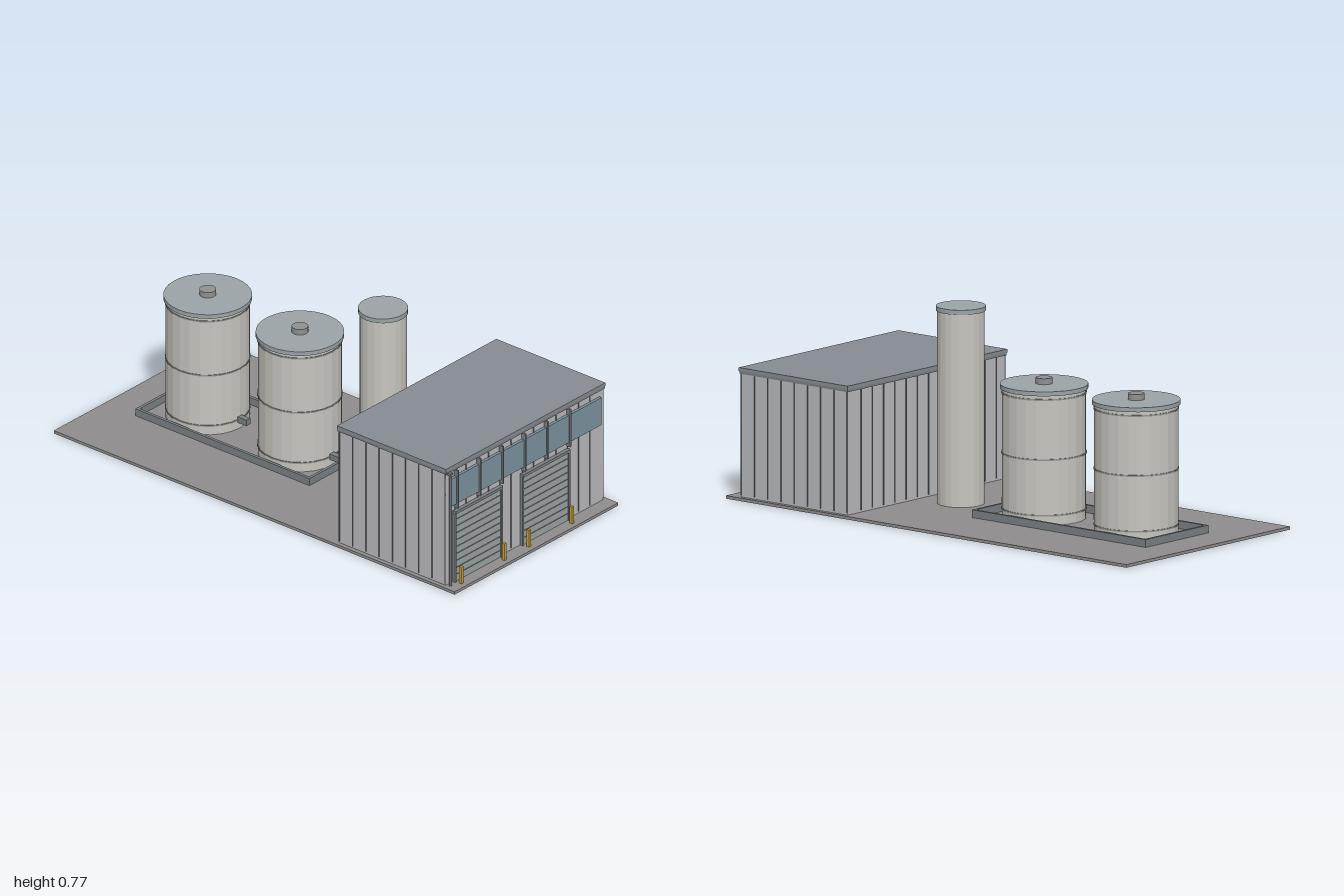
import * as THREE from 'three';

const mat = (color, flatShading = false) =>
  new THREE.MeshStandardMaterial({ color, flatShading, side: THREE.FrontSide });

const M = {
  slab: mat(0x8e8c8d), wall: mat(0xb9babd), seam: mat(0x6c6f73), roof: mat(0x868c92),
  trim: mat(0x7c8083), door: mat(0x9ca2a2), glass: mat(0x7c929d), post: mat(0xc9a23c),
  tank: mat(0xc6c4be, true), lid: mat(0x9ba3a6, true), band: mat(0x8f9191, true),
};

// Box given by its low and high corners
function box(parent, name, material, [x0, x1], [y0, y1], [z0, z1]) {
  const mesh = new THREE.Mesh(new THREE.BoxGeometry(x1 - x0, y1 - y0, z1 - z0), material);
  mesh.position.set((x0 + x1) / 2, (y0 + y1) / 2, (z0 + z1) / 2);
  mesh.name = name;
  parent.add(mesh);
}

// Upright cylinder between two heights
function drum(parent, name, material, r, y0, y1, sides = 24) {
  const mesh = new THREE.Mesh(new THREE.CylinderGeometry(r, r, y1 - y0, sides), material);
  mesh.position.y = (y0 + y1) / 2;
  mesh.name = name;
  parent.add(mesh);
}

function group(parent, name, x = 0, y = 0, z = 0) {
  const g = new THREE.Group();
  g.name = name;
  g.position.set(x, y, z);
  parent.add(g);
  return g;
}

const G = 0.012; // top of the ground slab
const FRONT = 0.94, BACK = 0.408, HALF = 0.457;

function addHall(root) {
  const hall = group(root, 'hall');
  box(hall, 'walls', M.wall, [-HALF, HALF], [G, 0.495], [BACK, FRONT]);
  box(hall, 'roof', M.roof, [-0.463, 0.463], [0.498, 0.512], [0.402, 0.946]);
  box(hall, 'fascia', M.trim, [-0.461, 0.461], [0.488, 0.498], [0.404, 0.945]);

  // Cladding seams on the front, back and sides
  const seams = group(hall, 'claddingSeams');
  for (let i = 0; i < 13; i++) {
    const x = -0.405 + i * 0.0653;
    box(seams, 'frontSeam', M.seam, [x - 0.002, x + 0.002], [0.02, 0.488], [FRONT - 0.002, FRONT + 0.003]);
    box(seams, 'backSeam', M.seam, [x - 0.002, x + 0.002], [0.02, 0.488], [BACK - 0.003, BACK + 0.002]);
  }
  for (let i = 0; i < 9; i++) {
    const z = BACK + 0.002 + i * 0.066;
    for (const s of [-1, 1]) {
      const x = s * HALF;
      box(seams, 'sideSeam', M.seam, [x - 0.003, x + 0.003], [0.02, 0.488], [z - 0.002, z + 0.002]);
    }
  }

  // Window band with mullions
  box(hall, 'windowBand', M.glass, [-0.437, 0.435], [0.345, 0.462], [FRONT, 0.952]);
  for (let i = 0; i < 6; i++) {
    const x = -0.405 + i * 0.1306;
    box(hall, 'mullion', M.trim, [x - 0.004, x + 0.004], [0.328, 0.488], [FRONT, 0.959]);
  }

  // Rain pipe on the front corner
  const pipe = group(hall, 'rainPipe', -0.446, 0, 0.955);
  drum(pipe, 'pipe', M.seam, 0.006, G, 0.493, 10);
  box(pipe, 'pipeBracket', M.trim, [-0.008, 0.008], [0.484, 0.493], [-0.015, 0.006]);
}

// Roller door with slat lines, frame and a bollard on each side
function addDoor(root, x) {
  const door = group(root, 'rollerDoor', x, 0, FRONT);
  const h = 0.1375;
  box(door, 'doorPanel', M.door, [-h + 0.006, h - 0.006], [G, 0.306], [0, 0.008]);
  for (let i = 1; i < 10; i++) {
    const y = G + i * 0.0295;
    box(door, 'slat', M.trim, [-h + 0.006, h - 0.006], [y - 0.0012, y + 0.0012], [0, 0.011]);
  }
  for (const s of [-1, 1]) {
    const c = s * (h - 0.003);
    box(door, 'jamb', M.trim, [c - 0.004, c + 0.004], [G, 0.306], [0, 0.014]);
    const b = s * 0.1245;
    box(door, 'bollard', M.post, [b - 0.006, b + 0.006], [G, 0.083], [0.027, 0.039]);
  }
  box(door, 'lintel', M.trim, [-h, h], [0.304, 0.316], [0, 0.016]);
}

function addTank(root, z) {
  const tank = group(root, 'storageTank', 0, 0, z);
  drum(tank, 'tankBody', M.tank, 0.16, G, 0.515);
  for (const y of [0.05, 0.265, 0.497]) drum(tank, 'tankBand', M.band, 0.1625, y - 0.003, y + 0.003);
  drum(tank, 'tankLid', M.lid, 0.168, 0.513, 0.53, 32);
  drum(tank, 'tankVent', M.band, 0.032, 0.53, 0.553, 16);
  box(tank, 'outlet', M.trim, [-0.012, 0.012], [0.04, 0.064], [0.15, 0.203]);
}

export function createModel() {
  const root = new THREE.Group();
  root.name = 'industrialYard';

  box(root, 'groundSlab', M.slab, [-0.475, 0.475], [0, G], [-1, 1]);
  addHall(root);
  for (const x of [-0.2795, 0.1125]) addDoor(root, x);

  // Tall silo behind the hall
  const silo = group(root, 'silo', 0, 0, 0.235);
  drum(silo, 'siloBody', M.tank, 0.09, G, 0.76, 20);
  drum(silo, 'siloLid', M.lid, 0.095, 0.757, 0.775, 28);

  // Tanks inside a low containment wall
  for (const z of [-0.18, -0.64]) addTank(root, z);
  const bund = group(root, 'containmentWall');
  for (const s of [-1, 1]) {
    const x = s * 0.176, z = -0.41 + s * 0.428;
    box(bund, 'longWall', M.trim, [x - 0.006, x + 0.006], [G, 0.042], [-0.844, 0.024]);
    box(bund, 'shortWall', M.trim, [-0.17, 0.17], [G, 0.042], [z - 0.006, z + 0.006]);
  }
  return root;
}
